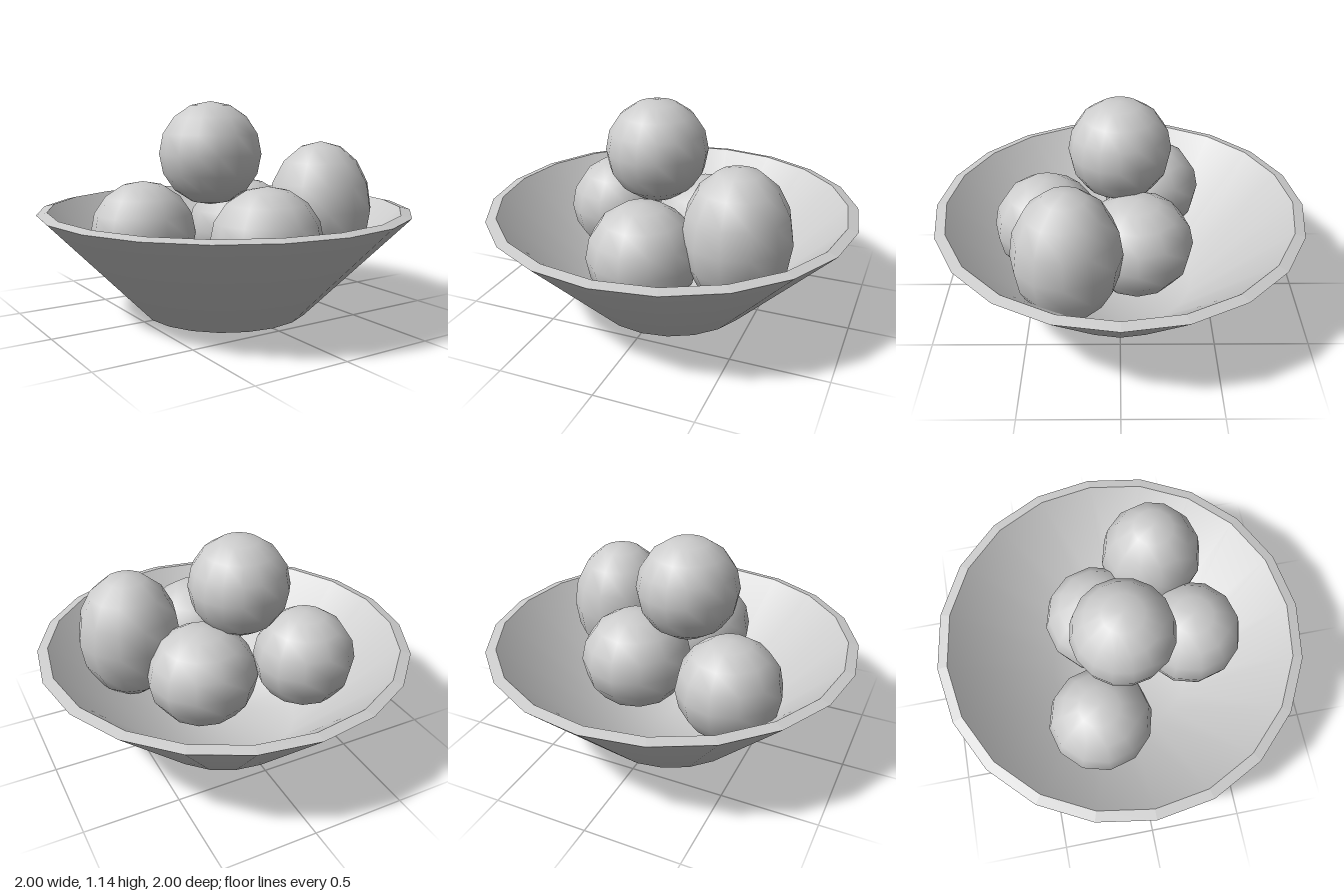
import * as THREE from 'three';

const grey = new THREE.MeshStandardMaterial({ color: 0xcccccc });
grey.name = 'light grey';

function addMesh(parent, name, geometry) {
  const mesh = new THREE.Mesh(geometry, grey);
  mesh.name = name;
  parent.add(mesh);
  return mesh;
}

// Twenty-sided turned surface from [radius, height] pairs
function turned(points) {
  return new THREE.LatheGeometry(points.map(([r, y]) => new THREE.Vector2(r, y)), 20);
}

export function createModel() {
  const model = new THREE.Group();
  model.name = 'fruitBowl';

  // Bowl: base and outer wall, bevelled rim, hollow inside
  const bowl = new THREE.Group();
  bowl.name = 'bowl';
  model.add(bowl);
  addMesh(bowl, 'outerWall', turned([[0, 0], [0.45, 0], [1, 0.56]]));
  const rim = turned([[1, 0.56], [0.945, 0.573]]).toNonIndexed();
  rim.computeVertexNormals();
  addMesh(bowl, 'rim', rim);
  addMesh(bowl, 'innerWall', turned([[0.945, 0.573], [0.41, 0.05], [0, 0.05]]));

  // Fruit: name, centre, horizontal radius, vertical radius, sides
  const fruits = [
    ['topFruit', [-0.09, 0.863, 0], 0.275, 0.275, 16],
    ['rightFruit', [-0.405, 0.435, -0.182], 0.283, 0.28, 12],
    ['backFruit', [0.175, 0.43, -0.09], 0.302, 0.275, 12],
    ['frontFruit', [-0.005, 0.435, 0.4], 0.29, 0.285, 12],
    ['tallFruit', [0.448, 0.56, 0.267], 0.283, 0.362, 12],
  ];
  for (const [name, centre, radius, halfHeight, sides] of fruits) {
    const geometry = new THREE.SphereGeometry(1, sides, 8);
    geometry.scale(radius, halfHeight, radius);
    addMesh(model, name, geometry).position.set(...centre);
  }

  return model;
}
